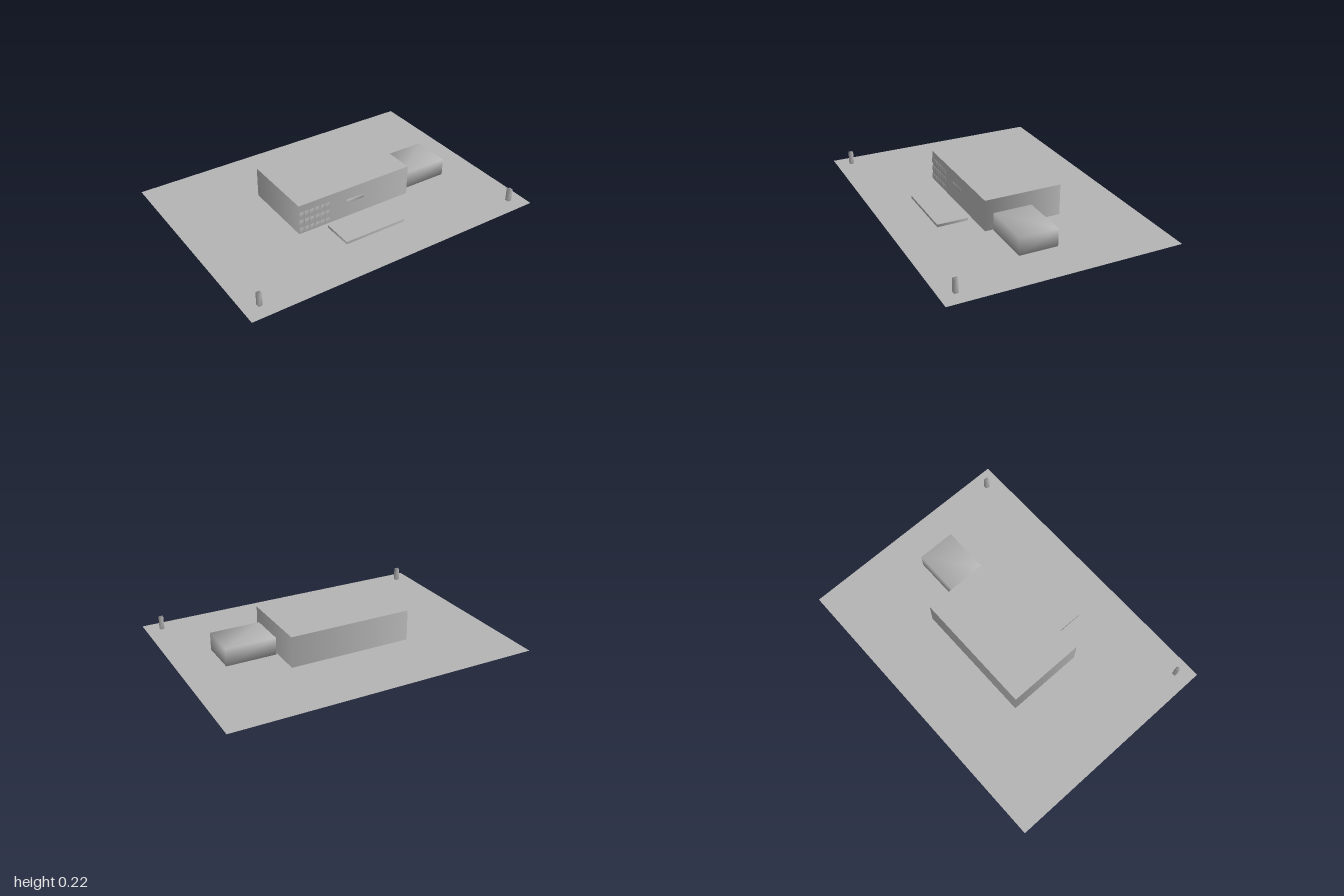
import * as THREE from 'three';
import { mergeVertices } from 'three/addons/utils/BufferGeometryUtils.js';

export function createModel() {
  const model = new THREE.Group();
  const grey = new THREE.MeshStandardMaterial({ color: 0xb4b4b4, side: THREE.DoubleSide });
  grey.name = 'plain grey';

  function add(name, geometry, x, y, z, parent = model) {
    const mesh = new THREE.Mesh(geometry, grey);
    mesh.name = name;
    mesh.position.set(x, y, z);
    parent.add(mesh);
    return mesh;
  }

  // Box whose corners share averaged normals
  function softBox(w, h, d) {
    const box = new THREE.BoxGeometry(w, h, d);
    box.deleteAttribute('normal');
    box.deleteAttribute('uv');
    const soft = mergeVertices(box);
    soft.computeVertexNormals();
    return soft;
  }

  // Four-sided block with smooth walls and a flat top and bottom
  function wallBlock(w, h, d) {
    return new THREE.CylinderGeometry(Math.SQRT1_2, Math.SQRT1_2, 1, 4, 1, false, Math.PI / 4).scale(w, h, d);
  }

  // Flat site and the outline plate below the building
  add('ground', new THREE.PlaneGeometry(2, 1.47).rotateX(-Math.PI / 2), 0, 0, 0);
  add('foundation', new THREE.PlaneGeometry(0.8, 0.5).rotateX(-Math.PI / 2), 0, 0.003, -0.02);

  // Main hall, side annex and entrance slab
  add('mainBuilding', wallBlock(0.8, 0.2, 0.5), 0, 0.115, -0.02);
  add('annex', softBox(0.325, 0.114, 0.25), 0.572, 0.072, 0.055);
  add('entranceSlab', wallBlock(0.424, 0.017, 0.2), 0, 0.0115, 0.355);

  // Three rows of six windows on the front
  const windows = new THREE.Group();
  windows.name = 'windows';
  model.add(windows);
  for (let row = 0; row < 3; row++) {
    for (let col = 0; col < 6; col++) {
      add('window', softBox(0.026, 0.034, 0.008), -0.385 + col * 0.0367, 0.043 + row * 0.055, 0.231, windows);
    }
  }

  // Blank sign plate in the middle of the front
  add('signPlate', softBox(0.12, 0.024, 0.008), 0, 0.127, 0.231);

  // Gate posts at the front corners of the site
  for (const side of [-1, 1]) {
    add(side > 0 ? 'leftGatePost' : 'rightGatePost', softBox(0.025, 0.085, 0.026), side * 0.9, 0.0455, 0.637);
  }
  return model;
}
